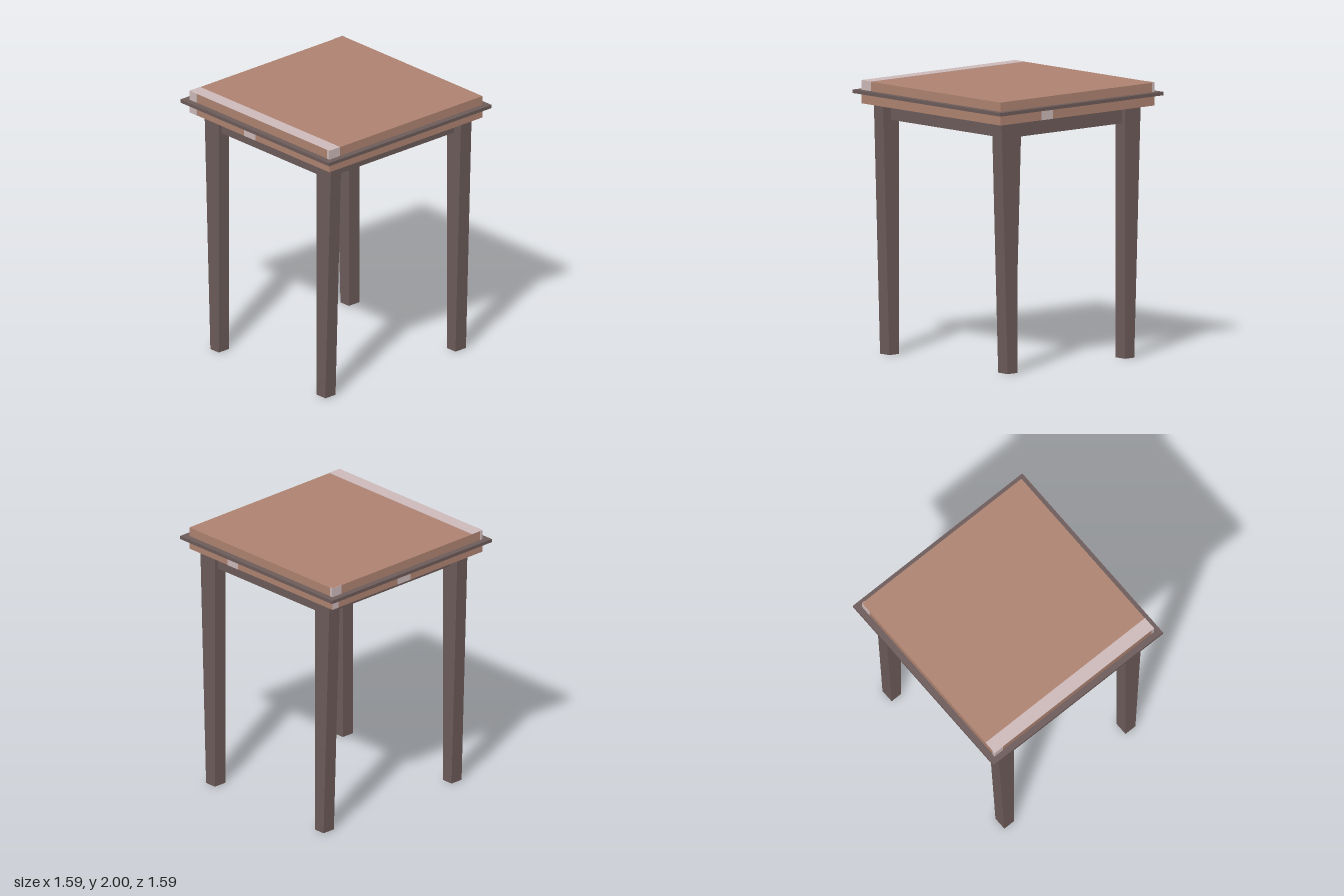
import * as THREE from 'three';

const mat = (name, color) => {
  const m = new THREE.MeshStandardMaterial({ color });
  m.name = name;
  return m;
};

export function createModel() {
  const table = new THREE.Group();
  table.name = 'sideTable';
  const wood = mat('warm wood', 0xae8371);
  const frame = mat('dark wood', 0x6c5b59);
  const worn = mat('worn pale wood', 0xcdb9b9);

  // Box given by its lower and upper limits on each axis
  const box = (name, material, [x0, x1], [y0, y1], [z0, z1]) => {
    const mesh = new THREE.Mesh(new THREE.BoxGeometry(x1 - x0, y1 - y0, z1 - z0), material);
    mesh.position.set((x0 + x1) / 2, (y0 + y1) / 2, (z0 + z1) / 2);
    mesh.name = name;
    table.add(mesh);
    return mesh;
  };

  // Top: two slabs with a thin projecting trim between them
  const W = 0.748;
  const lower = [1.83, 1.905], upper = [1.93, 2.0];
  box('upperSlab', wood, [-W, W], [1.93, 1.998], [-W, W]);
  box('lowerSlab', wood, [-W, W], lower, [-W, W]);
  box('trim', frame, [-0.795, 0.795], [1.905, 1.93], [-0.795, 0.795]);

  // Worn patches, thin plates on the faces of the slabs
  const out = [W, W + 0.002], back = [-W - 0.002, -W];
  box('topWear', worn, [-W, W], [1.998, 2.0], [0.645, W]);
  box('frontWear', worn, [-W, -0.67], upper, out);
  box('frontWear', worn, [-W, -0.67], lower, out);
  box('frontWear', worn, [0.725, W], upper, out);
  box('frontWear', worn, [-0.165, -0.04], lower, out);
  box('rightWear', worn, out, upper, [0.645, W]);
  box('leftWear', worn, back, upper, [-W, -0.66]);
  box('leftWear', worn, back, lower, [-W, -0.69]);
  box('leftWear', worn, back, upper, [0.725, W]);
  box('leftWear', worn, back, lower, [-0.1, 0.03]);
  box('backWear', worn, [0.24, 0.35], lower, back);
  box('backWear', worn, [-W, -0.725], upper, back);

  // Legs: straight inside, outer side tapering toward the floor
  const leg = (name, inner, outerTop, outerFoot, z0, z1) => {
    const shape = new THREE.Shape();
    shape.moveTo(inner, 0);
    shape.lineTo(outerFoot, 0);
    shape.lineTo(outerTop, 1.83);
    shape.lineTo(inner, 1.83);
    const geo = new THREE.ExtrudeGeometry(shape, { depth: z1 - z0, bevelEnabled: false });
    const mesh = new THREE.Mesh(geo, frame);
    mesh.position.z = z0;
    mesh.name = name;
    table.add(mesh);
  };
  for (const [end, z0, z1] of [['front', 0.58, 0.68], ['back', -0.695, -0.592]]) {
    leg(end + 'LeftLeg', 0.537, 0.69, 0.63, z0, z1);
    leg(end + 'RightLeg', -0.51, -0.662, -0.6, z0, z1);
  }

  // Aprons between the legs
  const rail = [1.715, 1.83];
  box('frontApron', frame, [-0.51, 0.537], rail, [0.59, 0.655]);
  box('backApron', frame, [-0.51, 0.537], rail, [-0.665, -0.6]);
  box('leftApron', frame, [0.545, 0.615], rail, [-0.592, 0.58]);
  box('rightApron', frame, [-0.585, -0.515], rail, [-0.592, 0.58]);

  return table;
}
